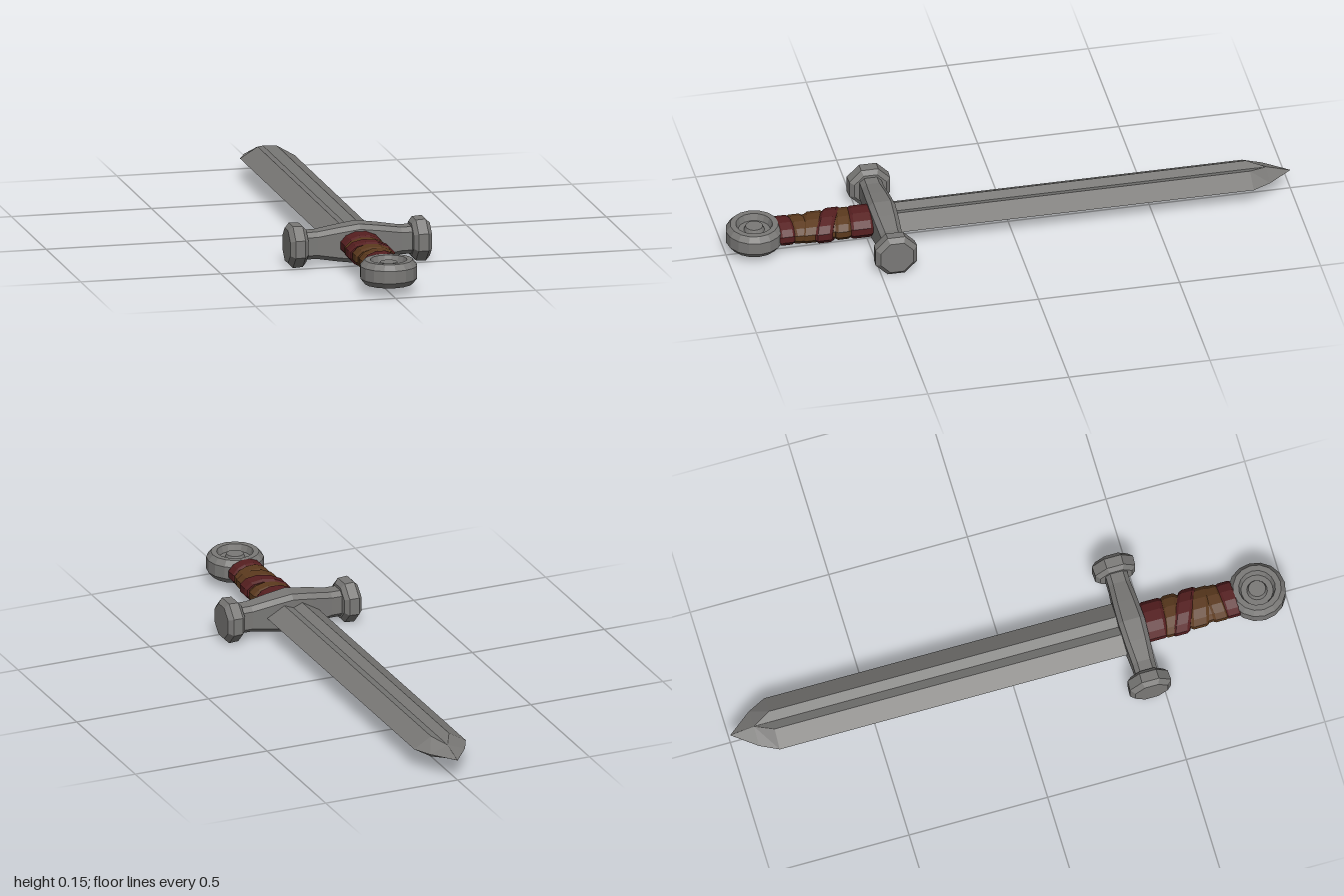
import * as THREE from 'three';

const steel = new THREE.MeshStandardMaterial({ color: 0x7a7977, flatShading: true });
steel.name = 'steel';
const red = new THREE.MeshStandardMaterial({ color: 0x561f20, flatShading: true });
red.name = 'red leather';
const brown = new THREE.MeshStandardMaterial({ color: 0x5c3a1e, flatShading: true });
brown.name = 'brown leather';

const MID = 0.075; // height of the sword's centre plane

function part(name, geometry, material) {
  const mesh = new THREE.Mesh(geometry, material);
  mesh.name = name;
  return mesh;
}

// Skins closed rings of [x, y, z] points, ordered from +z to -z, each anticlockwise seen from +z
function loft(rings) {
  const n = rings[0].length, pos = [], index = [];
  rings.forEach(r => r.forEach(p => pos.push(...p)));
  for (let i = 0; i < rings.length - 1; i++) {
    for (let j = 0; j < n; j++) {
      const a = i * n + j, b = i * n + (j + 1) % n;
      index.push(a, a + n, b, b, a + n, b + n);
    }
  }
  // End caps as fans around each ring's centre
  [0, rings.length - 1].forEach((k, end) => {
    const c = pos.length / 3, sum = [0, 0, 0];
    rings[k].forEach(p => p.forEach((v, d) => { sum[d] += v / n; }));
    pos.push(...sum);
    for (let j = 0; j < n; j++) {
      const a = k * n + j, b = k * n + (j + 1) % n;
      index.push(c, end ? b : a, end ? a : b);
    }
  });
  const g = new THREE.BufferGeometry();
  g.setAttribute('position', new THREE.Float32BufferAttribute(pos, 3));
  g.setIndex(index);
  g.computeVertexNormals();
  return g;
}

// Diamond blade section with a V groove on both faces
function bladeRing(z, w, ridgeX, ridgeY, grooveY) {
  return [
    [w, 0, z], [ridgeX, ridgeY, z], [0, grooveY, z], [-ridgeX, ridgeY, z],
    [-w, 0, z], [-ridgeX, -ridgeY, z], [0, -grooveY, z], [ridgeX, -ridgeY, z],
  ];
}

// Chamfered rectangle for the crossguard
function guardRing(z, w, h) {
  const c = 0.016;
  return [
    [w, -h + c, z], [w, h - c, z], [w - c, h, z], [-w + c, h, z],
    [-w, h - c, z], [-w, -h + c, z], [-w + c, -h, z], [w - c, -h, z],
  ];
}

// Oval ring whose z leans with x
function ovalRing(z, rx, ry, tilt = 0) {
  const ring = [];
  for (let j = 0; j < 12; j++) {
    const a = (j + 0.5) / 12 * Math.PI * 2;
    const x = Math.cos(a) * rx;
    ring.push([x, Math.sin(a) * ry, z + tilt * x]);
  }
  return ring;
}

// Leather band around the grip with bevelled edges
function wrap(name, z0, z1, rx, ry, tilt, material) {
  const b = 0.01, s = 0.006;
  return part(name, loft([
    ovalRing(z1, rx - s, ry - s, tilt), ovalRing(z1 - b, rx, ry, tilt),
    ovalRing(z0 + b, rx, ry, tilt), ovalRing(z0, rx - s, ry - s, tilt),
  ]), material);
}

export function createModel() {
  const model = new THREE.Group();
  model.name = 'sword';
  const sword = new THREE.Group();
  sword.name = 'swordParts';
  sword.position.y = MID;
  model.add(sword);

  // Blade
  sword.add(part('blade', loft([
    bladeRing(0.44, 0.098, 0.034, 0.038, 0.025),
    bladeRing(-0.85, 0.098, 0.034, 0.038, 0.025),
    bladeRing(-0.915, 0.066, 0.0005, 0.025, 0.025),
    bladeRing(-1, 0.0005, 0.0002, 0.0005, 0.0005),
  ]), steel));

  // Crossguard, swelling towards the middle
  const guard = new THREE.Group();
  guard.name = 'crossguard';
  guard.position.z = 0.447;
  sword.add(guard);
  const bar = part('guardBar', loft([
    guardRing(0.2, 0.039, 0.048), guardRing(0.15, 0.039, 0.048),
    guardRing(0.075, 0.044, 0.06), guardRing(0, 0.047, 0.07),
    guardRing(-0.075, 0.044, 0.06),
    guardRing(-0.15, 0.039, 0.048), guardRing(-0.2, 0.039, 0.048),
  ]), steel);
  bar.rotation.y = Math.PI / 2;
  guard.add(bar);

  // Eight-sided knobs on the guard ends
  const k = 1 / Math.cos(Math.PI / 8);
  const knobProfile = [[0, 0.185], [0.057, 0.188], [0.072, 0.202], [0.074, 0.237], [0.058, 0.253], [0, 0.253]]
    .map(([r, y]) => new THREE.Vector2(r * k, y));
  for (const side of [1, -1]) {
    const knob = part(side > 0 ? 'leftGuardKnob' : 'rightGuardKnob',
      new THREE.LatheGeometry(knobProfile, 8, Math.PI / 8), steel);
    knob.rotation.z = -side * Math.PI / 2;
    guard.add(knob);
  }

  // Grip core and its leather bands
  const grip = new THREE.Group();
  grip.name = 'grip';
  sword.add(grip);
  grip.add(part('gripCore', loft([
    ovalRing(0.83, 0.056, 0.037), ovalRing(0.66, 0.065, 0.04), ovalRing(0.48, 0.066, 0.042),
  ]), brown));
  grip.add(wrap('redBandAtGuard', 0.485, 0.565, 0.073, 0.049, 0.08, red));
  grip.add(wrap('brownBandUpper', 0.56, 0.615, 0.075, 0.044, 0.15, brown));
  grip.add(wrap('redBandMiddle', 0.607, 0.668, 0.078, 0.049, 0.42, red));
  grip.add(wrap('brownBandLower', 0.66, 0.725, 0.071, 0.045, 0.25, brown));
  grip.add(wrap('brownBandEnd', 0.718, 0.775, 0.067, 0.043, -0.1, brown));
  grip.add(wrap('redBandAtPommel', 0.768, 0.825, 0.066, 0.045, -0.05, red));

  // Wheel pommel with a recessed ring and central stud on both faces
  const half = [[0.1, 0.022], [0.084, 0.042], [0.064, 0.042], [0.056, 0.018], [0.036, 0.018], [0.03, 0.034], [0, 0.034]];
  const profile = [
    ...half.map(([r, y]) => [r, -y]).reverse(), ...half,
  ].map(([r, y]) => new THREE.Vector2(r, y));
  const pommel = part('pommel', new THREE.LatheGeometry(profile, 16), steel);
  pommel.position.z = 0.9;
  sword.add(pommel);

  return model;
}
